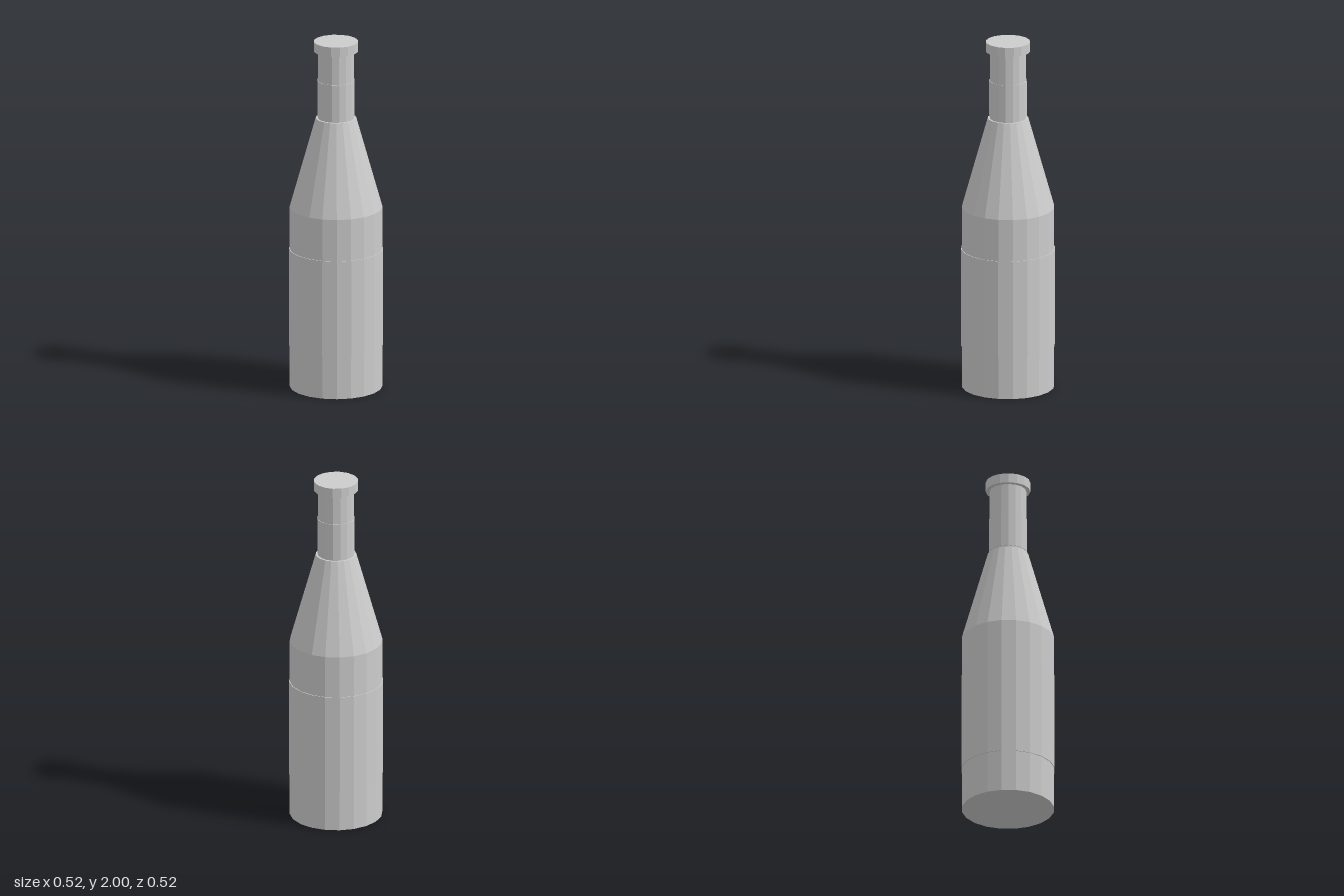
import * as THREE from 'three';

export function createModel() {
  const bottle = new THREE.Group();
  bottle.name = 'bottle';

  const grey = new THREE.MeshStandardMaterial({ color: 0xcccccc, flatShading: true });
  grey.name = 'plain grey';

  // A faceted round section between two heights
  function section(name, topRadius, bottomRadius, y0, y1, sides) {
    const geometry = new THREE.CylinderGeometry(topRadius, bottomRadius, y1 - y0, sides);
    const mesh = new THREE.Mesh(geometry, grey);
    mesh.name = name;
    mesh.position.y = (y0 + y1) / 2;
    bottle.add(mesh);
  }

  // Glass
  section('body', 0.258, 0.258, 0, 1.04, 20);
  section('shoulder', 0.113, 0.258, 1.04, 1.557, 20);
  section('neck', 0.102, 0.102, 1.557, 1.945, 16);

  // Wrapped labels, slightly proud of the glass
  section('bodyLabel', 0.262, 0.262, 0.24, 0.8, 20);
  section('neckLabel', 0.105, 0.105, 1.57, 1.775, 16);

  // Cap
  section('cap', 0.124, 0.124, 1.945, 2, 16);

  return bottle;
}
